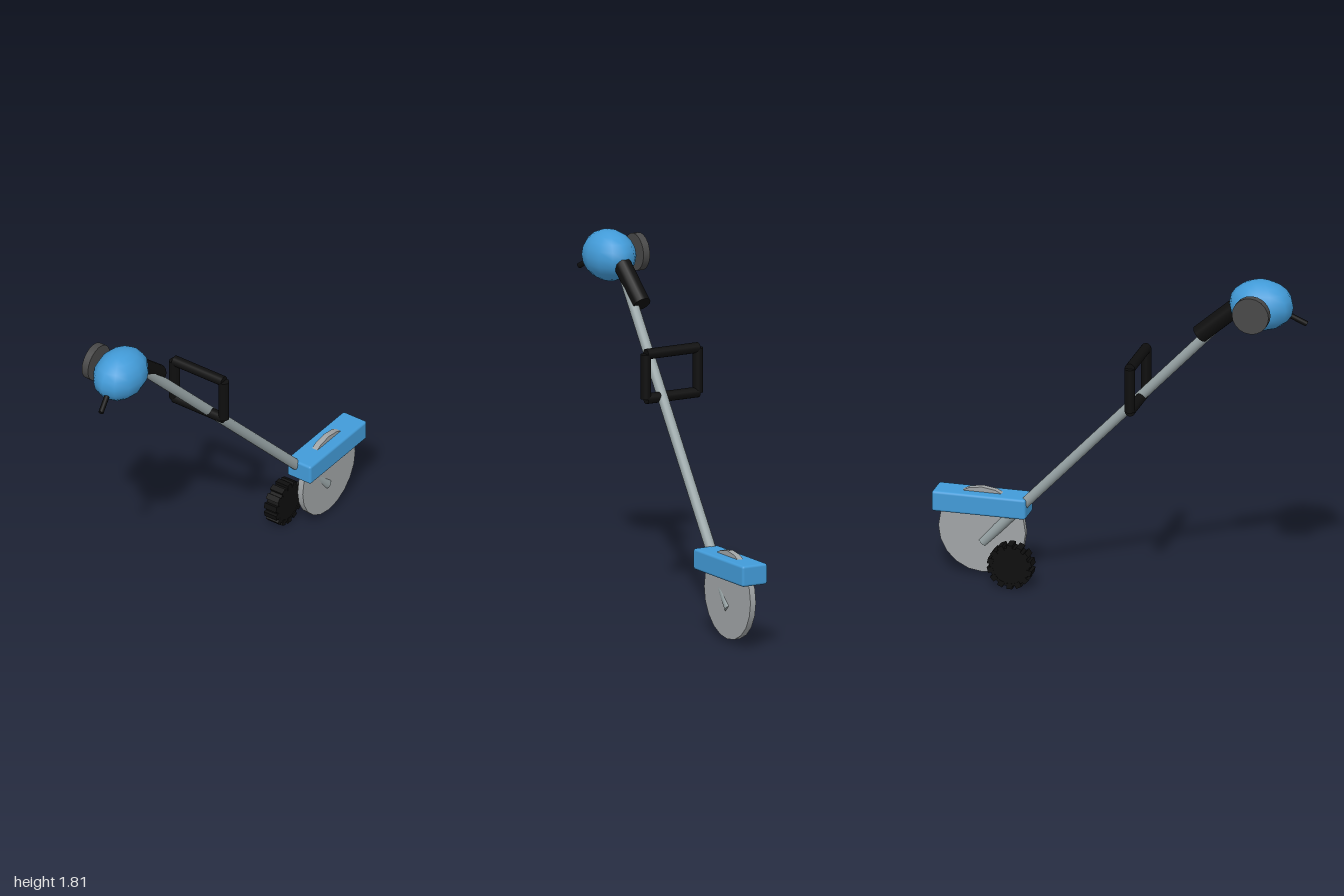
import * as THREE from 'three';
import { RoundedBoxGeometry } from 'three/addons/geometries/RoundedBoxGeometry.js';

const mat = (name, color) => {
  const m = new THREE.MeshStandardMaterial({ color });
  m.name = name;
  return m;
};

export function createModel() {
  const blue = mat('blue housing', 0x429bd8);
  const steel = mat('steel tube', 0x97a3a5);
  const bladeGrey = mat('blade grey', 0xa0a4a6);
  const charcoal = mat('charcoal', 0x484848);
  const black = mat('black rubber', 0x0e0e0e);

  const model = new THREE.Group();
  model.name = 'lawnEdger';

  const add = (name, geometry, material, position, parent = model) => {
    const mesh = new THREE.Mesh(geometry, material);
    mesh.name = name;
    mesh.position.set(...position);
    parent.add(mesh);
    return mesh;
  };

  // Cylinder running between two points
  const rod = (name, a, b, radius, sides, material, parent = model) => {
    const start = new THREE.Vector3(...a);
    const dir = new THREE.Vector3(...b).sub(start);
    const mid = start.clone().addScaledVector(dir, 0.5);
    const mesh = add(name, new THREE.CylinderGeometry(radius, radius, dir.length(), sides),
      material, mid.toArray(), parent);
    mesh.quaternion.setFromUnitVectors(new THREE.Vector3(0, 1, 0), dir.normalize());
    return mesh;
  };

  // Disc whose axle lies along x
  const disc = (radius, width, sides) =>
    new THREE.CylinderGeometry(radius, radius, width, sides).rotateZ(Math.PI / 2);

  // Engine with side cover and pull cord
  const engine = add('engineHousing', new THREE.SphereGeometry(1, 12, 10), blue, [-0.047, 1.685, 0.765]);
  engine.scale.set(0.128, 0.131, 0.168);
  add('starterCover', disc(0.096, 0.038, 20), charcoal, [-0.207, 1.685, 0.757]);
  rod('pullCordHandle', [-0.045, 1.67, 0.85], [-0.008, 1.59, 0.992], 0.014, 10, black);

  // Long shaft reaching through the blade, and the rear grip
  rod('shaft', [-0.04, 1.66, 0.64], [0.146, 0.175, -0.747], 0.027, 14, steel);
  rod('rearGrip', [-0.047, 1.665, 0.64], [-0.047, 1.492, 0.442], 0.047, 16, black);

  // Rectangular loop handle
  const handle = new THREE.Group();
  handle.name = 'loopHandle';
  model.add(handle);
  const [x0, x1, y0, y1, hz] = [-0.18, 0.125, 1.088, 1.318, 0.113];
  for (const y of [y0, y1]) rod('handleBar', [x0, y, hz], [x1, y, hz], 0.027, 14, black, handle);
  for (const x of [x0, x1]) rod('handleSide', [x, y0, hz], [x, y1, hz], 0.027, 14, black, handle);

  // Blade and its guard
  add('blade', disc(0.228, 0.032, 20), bladeGrey, [0.145, 0.247, -0.748]);
  add('bladeGuard', new RoundedBoxGeometry(0.147, 0.108, 0.492, 2, 0.013), blue, [0.146, 0.394, -0.752]);

  // Support wheel with tread blocks
  const wheel = new THREE.Group();
  wheel.name = 'supportWheel';
  wheel.position.set(0.012, 0.118, -0.562);
  model.add(wheel);
  add('tyre', disc(0.103, 0.07, 24), black, [0, 0, 0], wheel);
  const treads = 14;
  for (let i = 0; i < treads; i++) {
    const a = (i / treads) * Math.PI * 2;
    const block = add('treadBlock', new THREE.BoxGeometry(0.075, 0.03, 0.03), black,
      [0, Math.cos(a) * 0.102, Math.sin(a) * 0.102], wheel);
    block.rotation.x = a;
  }

  return model;
}
